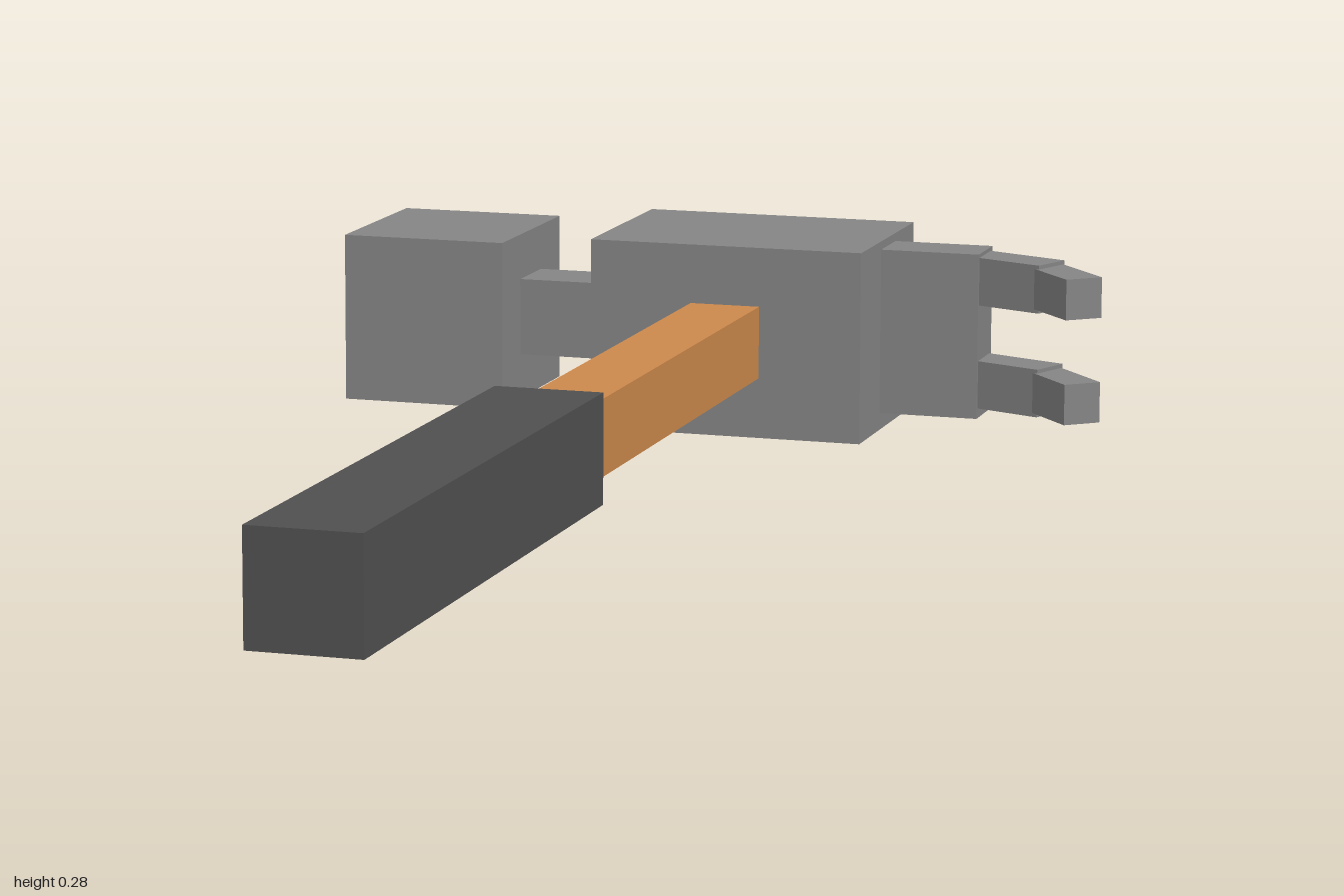
import * as THREE from 'three';

export function createModel() {
  const group = new THREE.Group();
  group.name = 'hammer';

  const material = (name, color) => {
    const m = new THREE.MeshStandardMaterial({ color });
    m.name = name;
    return m;
  };
  const steel = material('steel grey', 0x858585);
  const wood = material('orange wood', 0xcd894c);
  const rubber = material('dark rubber', 0x505050);

  // Box given by its extents along each axis
  const block = (name, mat, [x0, x1], [y0, y1], [z0, z1]) => {
    const mesh = new THREE.Mesh(new THREE.BoxGeometry(x1 - x0, y1 - y0, z1 - z0), mat);
    mesh.position.set((x0 + x1) / 2, (y0 + y1) / 2, (z0 + z1) / 2);
    mesh.name = name;
    group.add(mesh);
  };

  // Handle
  block('grip', rubber, [-0.056, 0.092], [0.065, 0.213], [0.1, 1]);
  block('shaft', wood, [-0.032, 0.07], [0.087, 0.191], [-0.72, 0.11]);

  // Head, neck and striking face
  block('head', steel, [-0.182, 0.22], [0, 0.276], [-1, -0.703]);
  block('neck', steel, [-0.33, -0.17], [0.083, 0.195], [-0.896, -0.8]);
  block('strikingFace', steel, [-0.565, -0.322], [0.017, 0.261], [-0.986, -0.718]);
  block('clawBase', steel, [0.21, 0.364], [0.025, 0.264], [-0.896, -0.814]);

  // Bar lying between two points of the xz plane
  const bar = (name, [ax, az], [bx, bz], y, height, thickness) => {
    const length = Math.hypot(bx - ax, bz - az);
    const mesh = new THREE.Mesh(new THREE.BoxGeometry(length, height, thickness), steel);
    mesh.position.set((ax + bx) / 2, y, (az + bz) / 2);
    mesh.rotation.y = -Math.atan2(bz - az, bx - ax);
    mesh.name = name;
    group.add(mesh);
  };

  // Two claw prongs, each bending forward in two segments
  for (const [side, y] of [['upper', 0.224], ['lower', 0.074]]) {
    bar(side + 'ProngRoot', [0.348, -0.859], [0.472, -0.808], y, 0.069, 0.062);
    bar(side + 'ProngTip', [0.462, -0.815], [0.538, -0.725], y, 0.058, 0.056);
  }

  return group;
}
